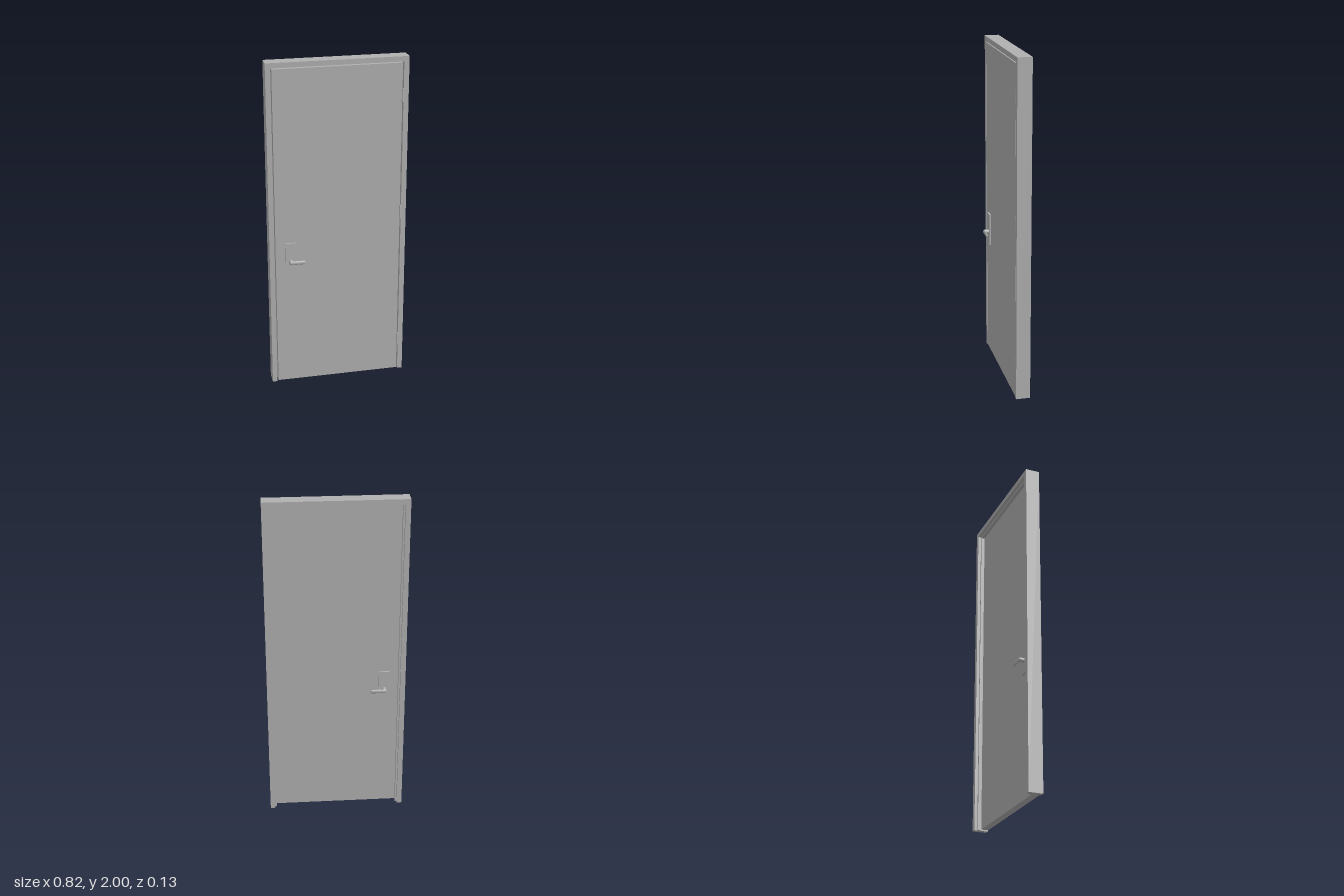
import * as THREE from 'three';

const FRONT = 0.02, BACK = -0.023;   // door leaf faces
const LEVER_X = -0.2875, LEVER_Y = 0.805;

// Upside-down U (two jambs and a head), extruded from z0 to z1
function portal(outerX, outerTop, innerX, innerTop, z0, z1) {
  const shape = new THREE.Shape([
    [-outerX, 0], [-innerX, 0], [-innerX, innerTop], [innerX, innerTop],
    [innerX, 0], [outerX, 0], [outerX, outerTop], [-outerX, outerTop],
  ].map(([x, y]) => new THREE.Vector2(x, y)));
  const g = new THREE.ExtrudeGeometry(shape, { depth: z1 - z0, bevelEnabled: false });
  return g.translate(0, 0, z0);
}

function box(x0, x1, y0, y1, z0, z1) {
  return new THREE.BoxGeometry(x1 - x0, y1 - y0, z1 - z0)
    .translate((x0 + x1) / 2, (y0 + y1) / 2, (z0 + z1) / 2);
}

// Bent lever: elliptical rings given by outer x, z, inner x, z and half height
function leverGeometry() {
  const rings = [
    [-0.0125, 0.005, 0.0125, 0.005, 0.0125],
    [-0.0125, 0.034, 0.0125, 0.029, 0.0125],
    [-0.0108, 0.039, 0.0127, 0.0302, 0.0122],
    [-0.0065, 0.0427, 0.0132, 0.0309, 0.0118],
    [0, 0.0438, 0.0145, 0.031, 0.0115],
    [0.075, 0.0438, 0.077, 0.031, 0.0115],
    [0.0795, 0.0422, 0.0795, 0.0322, 0.0095],
    [0.0815, 0.0395, 0.0812, 0.0345, 0.006],
    [0.082, 0.037, 0.082, 0.037, 0],
  ];
  const n = 20, pos = [], index = [];
  rings.forEach(([ox, oz, ix, iz, h], i) => {
    for (let j = 0; j < n; j++) {
      const a = (j / n) * Math.PI * 2, c = Math.cos(a) / 2;
      pos.push((ox + ix) / 2 + (ix - ox) * c, h * Math.sin(a), (oz + iz) / 2 + (iz - oz) * c);
      if (i === rings.length - 1) continue;
      const p = i * n + j, q = i * n + ((j + 1) % n);
      index.push(p, q, q + n, p, q + n, p + n);
    }
  });
  const g = new THREE.BufferGeometry();
  g.setAttribute('position', new THREE.Float32BufferAttribute(pos, 3));
  g.setIndex(index);
  g.computeVertexNormals();
  return g;
}

export function createModel() {
  const model = new THREE.Group();
  model.name = 'door';
  const grey = new THREE.MeshStandardMaterial({ color: 0xb0b0b0 });
  grey.name = 'grey';
  const add = (name, geometry) => {
    const mesh = new THREE.Mesh(geometry, grey);
    mesh.name = name;
    model.add(mesh);
    return mesh;
  };

  // Frame with a rabbet on both sides of the stop
  add('frame', portal(0.411, 2, 0.381, 1.97, -0.063, 0.021));
  add('doorStop', portal(0.381, 1.97, 0.371, 1.96, -0.045, BACK - 0.001));

  // Door leaf
  add('doorLeaf', box(-0.375, 0.374, 0.006, 1.964, BACK, FRONT));

  // Lock plates and levers on both faces
  add('frontPlate', box(-0.319, -0.256, 0.725, 0.92, FRONT, FRONT + 0.01));
  add('backPlate', box(-0.319, -0.256, 0.725, 0.92, BACK - 0.01, BACK));
  const lever = leverGeometry();
  add('frontLever', lever).position.set(LEVER_X, LEVER_Y, FRONT);
  const backLever = add('backLever', lever);
  backLever.position.set(LEVER_X, LEVER_Y, BACK);
  backLever.rotation.x = Math.PI;

  // Three hinge knuckles
  for (const y of [0.21, 1.063, 1.775]) {
    add('hinge', new THREE.CylinderGeometry(0.0055, 0.0055, 0.08, 16))
      .position.set(0.376, y, 0.0185);
  }
  return model;
}
